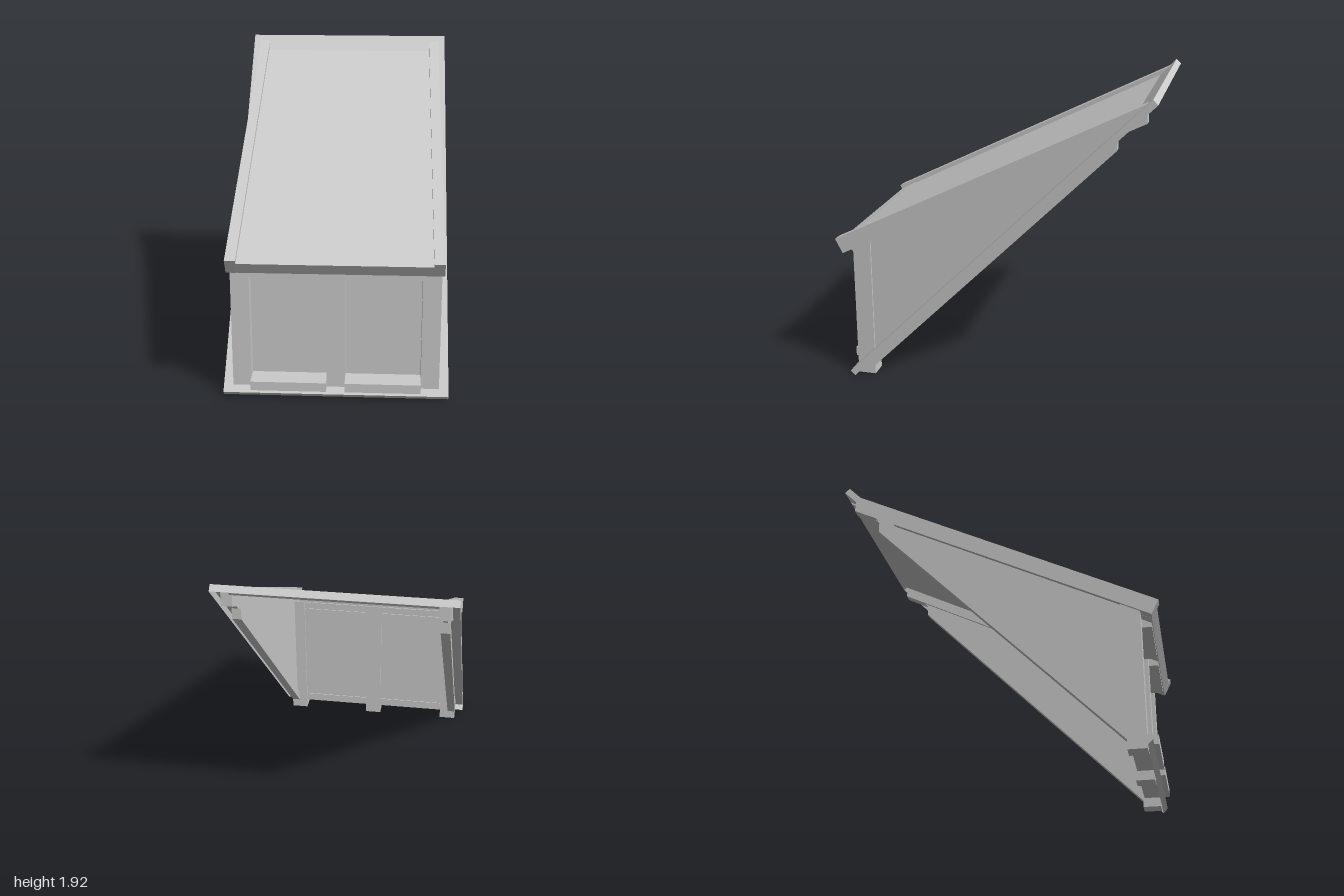
import * as THREE from 'three';
import { mergeGeometries } from 'three/addons/utils/BufferGeometryUtils.js';

const grey = new THREE.MeshStandardMaterial({ color: 0xcccccc, flatShading: true });
const greySheet = new THREE.MeshStandardMaterial({ color: 0xcccccc, flatShading: true, side: THREE.DoubleSide });

export function createModel() {
  const model = new THREE.Group();
  model.name = 'shedDormer';

  const add = (name, geometry, material = grey) => {
    const mesh = new THREE.Mesh(geometry, material);
    mesh.name = name;
    model.add(mesh);
    return mesh;
  };

  // Side profile of [z, y] points, extruded from x0 to x1
  const profile = (name, points, x0, x1) => {
    const shape = new THREE.Shape(points.map(([z, y]) => new THREE.Vector2(z, y)));
    const geometry = new THREE.ExtrudeGeometry(shape, { depth: x1 - x0, bevelEnabled: false });
    geometry.rotateY(-Math.PI / 2);
    geometry.translate(x1, 0, 0);
    add(name, geometry);
  };

  const box = (name, x0, x1, y0, y1, z0, z1) => {
    const mesh = add(name, new THREE.BoxGeometry(x1 - x0, y1 - y0, z1 - z0));
    mesh.position.set((x0 + x1) / 2, (y0 + y1) / 2, (z0 + z1) / 2);
  };

  // Heights of the sloping surfaces at a given z
  const rafterUnder = z => 0.827 + 0.5 * (0.95 - z);
  const roofTop = z => 1.388 - 0.5 * z;
  const rafterTop = z => 1.418 - 0.5 * z;
  const deckUnder = z => 0.89 - z;

  // Steep flashing sheet with turned-down edges, open behind the dormer
  const length = 2.673, half = 0.686, lip = 0.0424;
  const sheet = new THREE.Shape();
  sheet.moveTo(-half, 0).lineTo(half, 0).lineTo(half, length).lineTo(-half, length).closePath();
  const opening = new THREE.Path();
  opening.moveTo(-0.625, 0.05).lineTo(-0.625, 2.53).lineTo(0.625, 2.53).lineTo(0.625, 0.05).closePath();
  sheet.holes.push(opening);
  const flashing = [new THREE.ShapeGeometry(sheet).translate(0, 0, lip)];
  for (const side of [-1, 1]) {
    flashing.push(
      new THREE.PlaneGeometry(lip, length).rotateY(side * Math.PI / 2)
        .translate(side * half, length / 2, lip / 2),
      new THREE.PlaneGeometry(2 * half, lip).rotateX(-side * Math.PI / 2)
        .translate(0, side > 0 ? length : 0, lip / 2),
    );
  }
  const flashingMesh = add('roofFlashing', mergeGeometries(flashing), greySheet);
  flashingMesh.rotation.x = -Math.PI / 4;
  flashingMesh.position.z = 0.89;

  // Thin low-pitch roof running up to the ridge, with a deep header at the eave
  profile('dormerRoof', [
    [0.95, 0.827], [0.985, roofTop(0.985)], [0.88, roofTop(0.88) + 0.005], [0.88, roofTop(0.88)],
    [-0.998, roofTop(-0.998)], [-0.99, roofTop(-0.99) - 0.012],
    [0.88, roofTop(0.88) - 0.012], [0.88, rafterUnder(0.88)],
  ], -0.576, 0.576);

  for (const side of [-1, 1]) {
    const sided = (name, points, a, b) =>
      profile(name, points, Math.min(side * a, side * b), Math.max(side * a, side * b));
    // Edge rafter, plumb-cut where it passes under the flashing
    sided('dormerRafter', [
      [0.952, 0.827], [0.999, rafterTop(0.999)], [-0.936, rafterTop(-0.936)], [-0.94, rafterUnder(-0.94)],
    ], 0.575, 0.64);
    // Beam following the underside of the flashing
    sided('slopeBeam', [
      [0.77, 0.06], [0.77, 0.13], [-0.77, deckUnder(-0.77) + 0.01], [-0.77, 1.6],
    ], 0.575, 0.63);
    // Triangular cheek wall
    sided('cheekWall', [
      [0.8, 0.1], [0.8, rafterUnder(0.8) + 0.01], [-0.8, rafterUnder(-0.8) + 0.01],
      [-0.8, deckUnder(-0.8) + 0.01],
    ], 0.59, 0.615);
  }

  // Front posts, cut to the roof slope
  for (const x of [-0.572, 0, 0.572]) {
    profile('frontPost', [
      [0.77, 0], [0.885, 0], [0.885, rafterUnder(0.885)], [0.77, rafterUnder(0.77)],
    ], x - 0.056, x + 0.056);
  }

  // Recessed window bays with sill and head rails
  for (const side of [-1, 1]) {
    const x0 = side > 0 ? 0.056 : -0.516;
    const x1 = x0 + 0.46;
    profile('windowPanel', [
      [0.785, 0.09], [0.805, 0.09], [0.805, rafterUnder(0.805)], [0.785, rafterUnder(0.785)],
    ], x0, x1);
    box('windowSill', x0, x1, 0.06, 0.117, 0.78, 0.945);
    box('windowHead', x0, x1, 0.803, 0.86, 0.78, 0.945);
  }

  return model;
}
